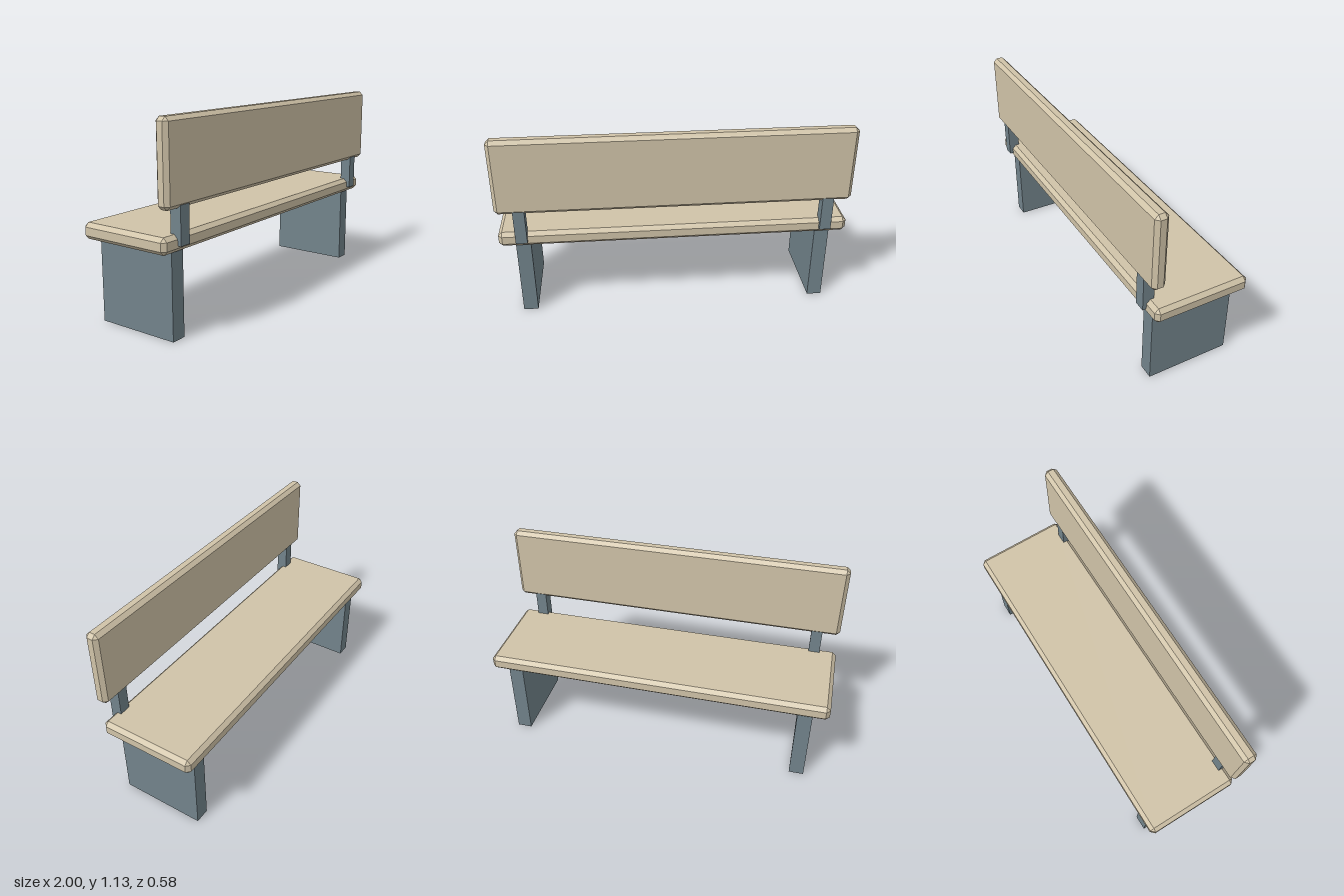
import * as THREE from 'three';
import { ConvexGeometry } from 'three/addons/geometries/ConvexGeometry.js';

// Box with all edges chamfered, given by its min and max corners
function chamferedBox(min, max, bevel) {
  const points = [];
  for (let corner = 0; corner < 8; corner++) {
    for (let fullAxis = 0; fullAxis < 3; fullAxis++) {
      const p = [0, 1, 2].map((axis) => {
        const inset = axis === fullAxis ? 0 : bevel;
        return (corner >> axis) & 1 ? max[axis] - inset : min[axis] + inset;
      });
      points.push(new THREE.Vector3(...p));
    }
  }
  return new ConvexGeometry(points);
}

// Plain box given by its min and max corners
function plainBox(min, max) {
  const size = max.map((v, i) => v - min[i]);
  const mid = max.map((v, i) => (v + min[i]) / 2);
  return new THREE.BoxGeometry(...size).translate(...mid);
}

export function createModel() {
  const model = new THREE.Group();
  model.name = 'bench';

  const wood = new THREE.MeshStandardMaterial({ color: 0xd0c3a8 });
  wood.name = 'pale wood';
  const metal = new THREE.MeshStandardMaterial({ color: 0x72838b });
  metal.name = 'slate metal';

  const add = (name, geometry, material) => {
    const mesh = new THREE.Mesh(geometry, material);
    mesh.name = name;
    model.add(mesh);
  };

  // Planks
  add('seat', chamferedBox([-1, 0.468, -0.292], [1, 0.557, 0.265], 0.022), wood);
  add('backrest', chamferedBox([-1, 0.691, 0.215], [1, 1.132, 0.292], 0.021), wood);

  // Slab legs and backrest posts, one of each per side
  for (const [side, s] of [['left', 1], ['right', -1]]) {
    add(side + 'Leg', plainBox([-0.0425, 0, -0.256], [0.0425, 0.48, 0.231]).translate(s * 0.867, 0, 0), metal);
    add(side + 'Post', plainBox([-0.0325, 0.502, 0.221], [0.0325, 0.8, 0.286]).translate(s * 0.868, 0, 0), metal);
  }

  return model;
}
